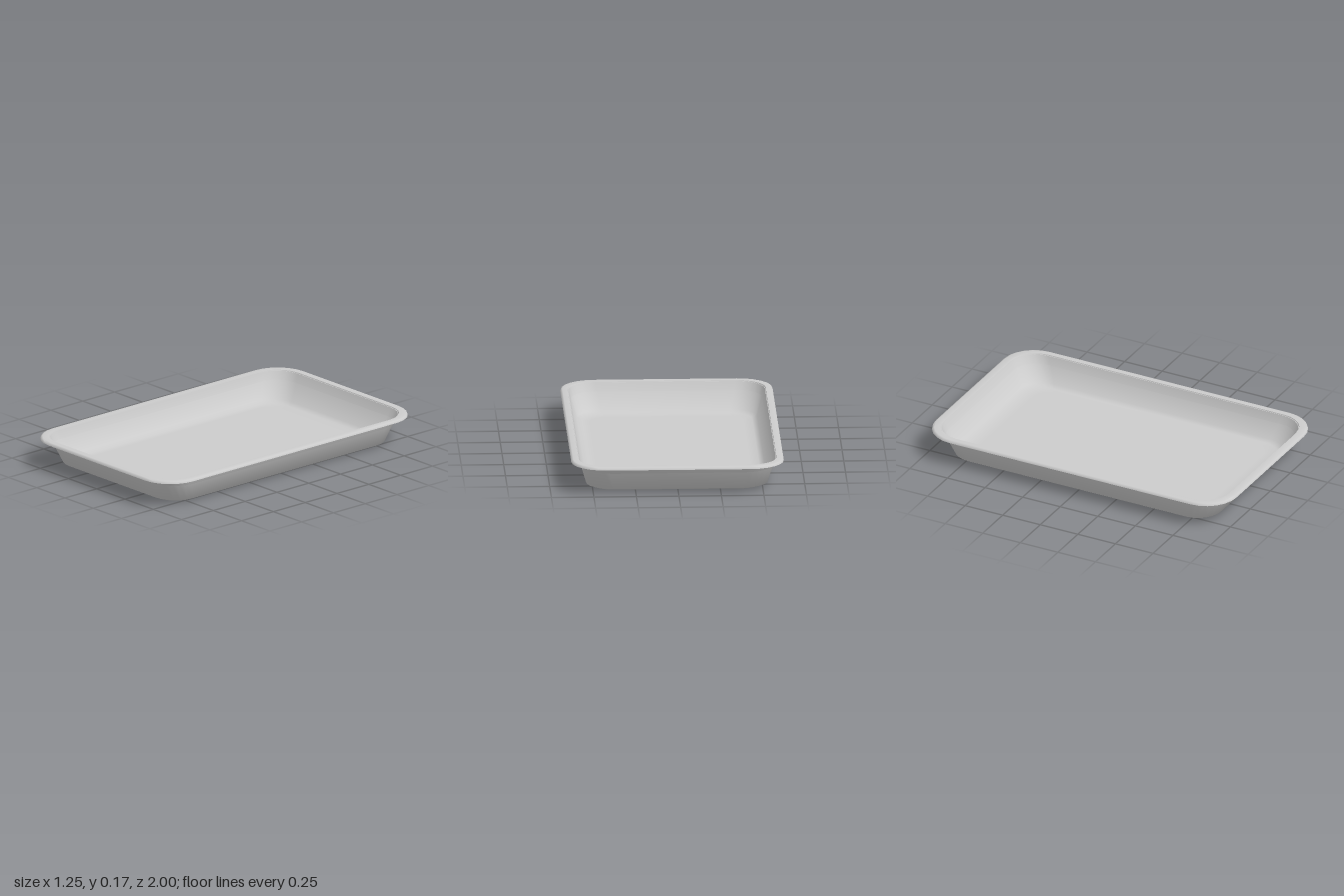
import * as THREE from 'three';
import { toCreasedNormals } from 'three/addons/utils/BufferGeometryUtils.js';

const CORNER_STEPS = 6;

// One rounded-rectangle cross-section at height y
function roundedLoop([hx, hz, r, y]) {
  const loop = [];
  for (let q = 0; q < 4; q++) {
    const cx = (q === 0 || q === 3 ? 1 : -1) * (hx - r);
    const cz = (q < 2 ? 1 : -1) * (hz - r);
    for (let s = 0; s <= CORNER_STEPS; s++) {
      const a = (q + s / CORNER_STEPS) * Math.PI / 2;
      loop.push([cx + r * Math.cos(a), y, cz + r * Math.sin(a)]);
    }
  }
  return loop;
}

// Skin a sequence of sections and close both ends at the centre
function loftSections(sections) {
  const loops = sections.map(roundedLoop);
  const n = loops[0].length;
  const positions = loops.flat(2);
  const index = [];
  for (let i = 0; i < loops.length - 1; i++) {
    for (let j = 0; j < n; j++) {
      const k = (j + 1) % n;
      const a = i * n + j, b = i * n + k, c = a + n, d = b + n;
      index.push(a, b, c, b, d, c);
    }
  }
  const first = loops.length * n, last = first + 1, base = (loops.length - 1) * n;
  positions.push(0, sections[0][3], 0, 0, sections[sections.length - 1][3], 0);
  for (let j = 0; j < n; j++) {
    const k = (j + 1) % n;
    index.push(first, k, j, last, base + j, base + k);
  }
  const geometry = new THREE.BufferGeometry();
  geometry.setAttribute('position', new THREE.Float32BufferAttribute(positions, 3));
  geometry.setIndex(index);
  return toCreasedNormals(geometry, 0.95);
}

export function createModel() {
  const group = new THREE.Group();
  group.name = 'tray';

  // Half width, half length, corner radius, height
  const sections = [
    // inside floor and wall
    [0.45, 0.76, 0.09, 0.005],
    [0.50, 0.835, 0.13, 0.005],
    [0.53, 0.87, 0.15, 0.019],
    [0.583, 0.952, 0.17, 0.174],
    // flat rim with a small turned-down lip
    [0.612, 0.987, 0.19, 0.175],
    [0.621, 0.996, 0.198, 0.172],
    [0.625, 1.0, 0.2, 0.16],
    [0.62, 0.995, 0.196, 0.16],
    [0.61, 0.984, 0.188, 0.169],
    // outside wall and base
    [0.578, 0.946, 0.167, 0.169],
    [0.535, 0.875, 0.152, 0.015],
    [0.50, 0.84, 0.13, 0],
    [0.45, 0.76, 0.09, 0],
  ];
  const pan = new THREE.Mesh(
    loftSections(sections),
    new THREE.MeshStandardMaterial({ color: 0xcccccc, side: THREE.DoubleSide })
  );
  pan.name = 'trayShell';
  group.add(pan);
  return group;
}
